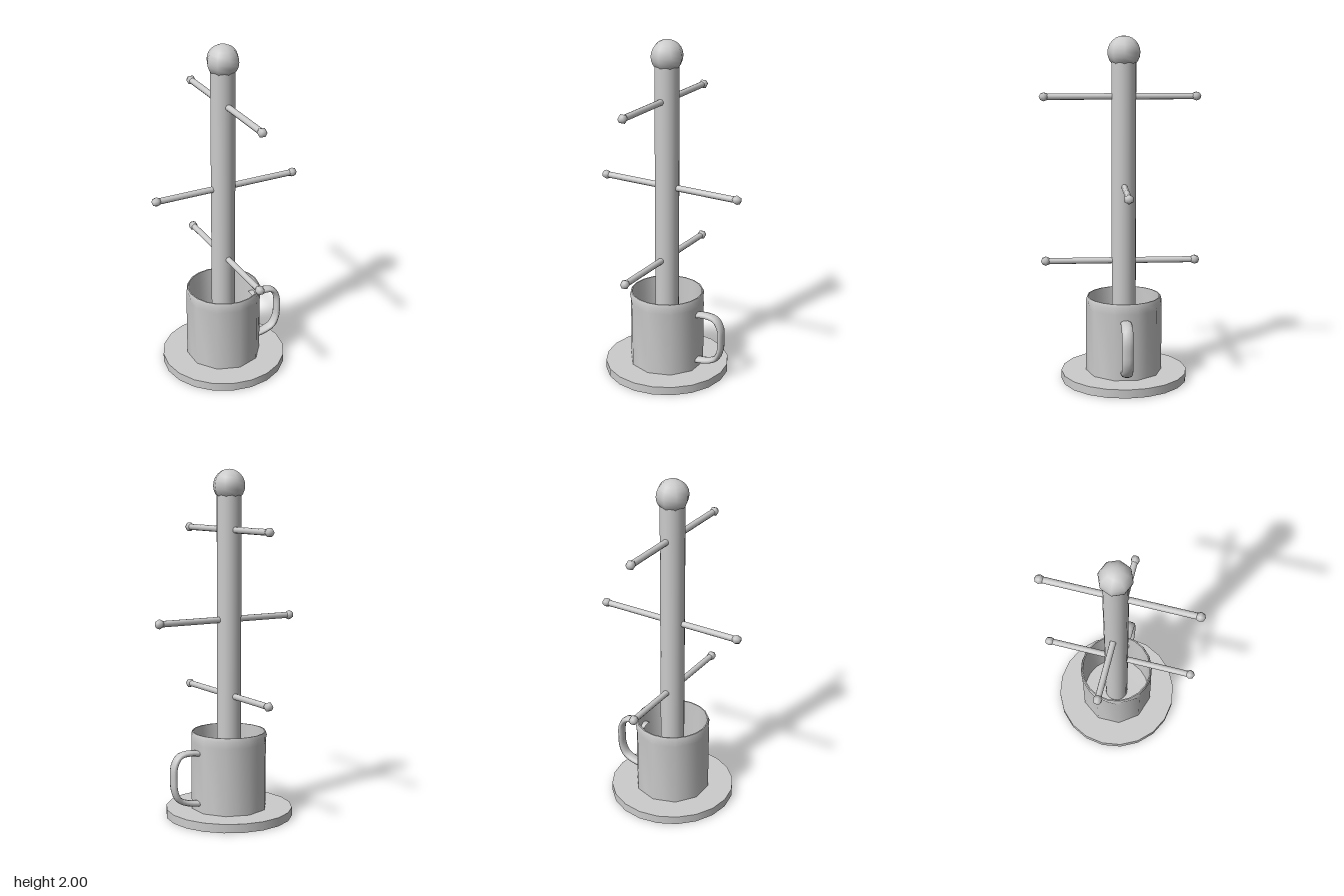
import * as THREE from 'three';
import { toCreasedNormals } from 'three/addons/utils/BufferGeometryUtils.js';

const V = (x, y, z = 0) => new THREE.Vector3(x, y, z);

export function createModel() {
  const model = new THREE.Group();
  model.name = 'mugTree';
  const stand = new THREE.Group();
  stand.name = 'stand';
  stand.position.set(-0.02, 0, -0.022);
  model.add(stand);

  const grey = new THREE.MeshStandardMaterial({ color: 0xcccccc });
  const open = new THREE.MeshStandardMaterial({ color: 0xcccccc, side: THREE.DoubleSide });
  const add = (name, geometry, y = 0, parent = stand, material = grey) => {
    const mesh = new THREE.Mesh(geometry, material);
    mesh.name = name;
    mesh.position.y = y;
    parent.add(mesh);
    return mesh;
  };

  // Base plate: hollow underneath, with a rim and a top
  add('baseRim', new THREE.CylinderGeometry(0.368, 0.368, 0.05, 20, 1, true), 0.025, stand, open);
  add('baseTop', new THREE.CircleGeometry(0.368, 20).rotateX(-Math.PI / 2), 0.05, stand, open);

  // Post and its round knob
  add('post', new THREE.CylinderGeometry(0.07, 0.07, 1.84, 20), 0.94);
  add('knob', new THREE.SphereGeometry(0.093, 8, 12), 1.907);

  // Three crossbars with knobs at both ends
  [[0.71, 'z'], [1.15, 'x'], [1.66, 'z']].forEach(([y, axis]) => {
    const bar = new THREE.Group();
    bar.name = 'crossbar';
    bar.position.set(axis === 'x' ? 0.018 : 0, y, axis === 'z' ? 0.02 : 0);
    if (axis === 'x') bar.rotation.z = -Math.PI / 2;
    else bar.rotation.x = Math.PI / 2;
    stand.add(bar);
    add('rod', new THREE.CylinderGeometry(0.018, 0.018, 0.87, 10), 0, bar);
    for (const side of [-1, 1]) {
      add('rodEnd', new THREE.SphereGeometry(0.028, 6, 4), side * 0.432, bar);
    }
  });

  // Mug around the post: round at foot and rim, ten-sided along the body
  const profile = [
    [0, 0], [0.216, 0], [0.222, 0.05], [0.222, 0.44], [0.22, 0.48],
    [0.214, 0.5], [0.207, 0.5], [0.205, 0.06], [0, 0.055],
  ].map(([r, y]) => new THREE.Vector2(r, y));
  const body = new THREE.LatheGeometry(profile, 20);
  const pos = body.attributes.position;
  for (let i = 0; i < pos.count; i++) {
    const ring = i % profile.length;
    const segment = Math.floor(i / profile.length);
    if ((ring === 2 || ring === 3) && segment % 2 === 1) {
      const k = Math.cos(Math.PI / 10);
      pos.setX(i, pos.getX(i) * k);
      pos.setZ(i, pos.getZ(i) * k);
    }
  }
  add('mugBody', toCreasedNormals(body, 0.9), 0, stand, open);

  // Mug handle: a tube flattened to a broad strap
  const path = new THREE.CatmullRomCurve3([
    V(0.18, 0.385), V(0.27, 0.397), V(0.33, 0.385), V(0.362, 0.335), V(0.367, 0.25),
    V(0.362, 0.19), V(0.335, 0.135), V(0.28, 0.108), V(0.18, 0.092),
  ]);
  const handle = add('mugHandle', new THREE.TubeGeometry(path, 24, 0.017, 10));
  handle.scale.z = 1.9;

  return model;
}
